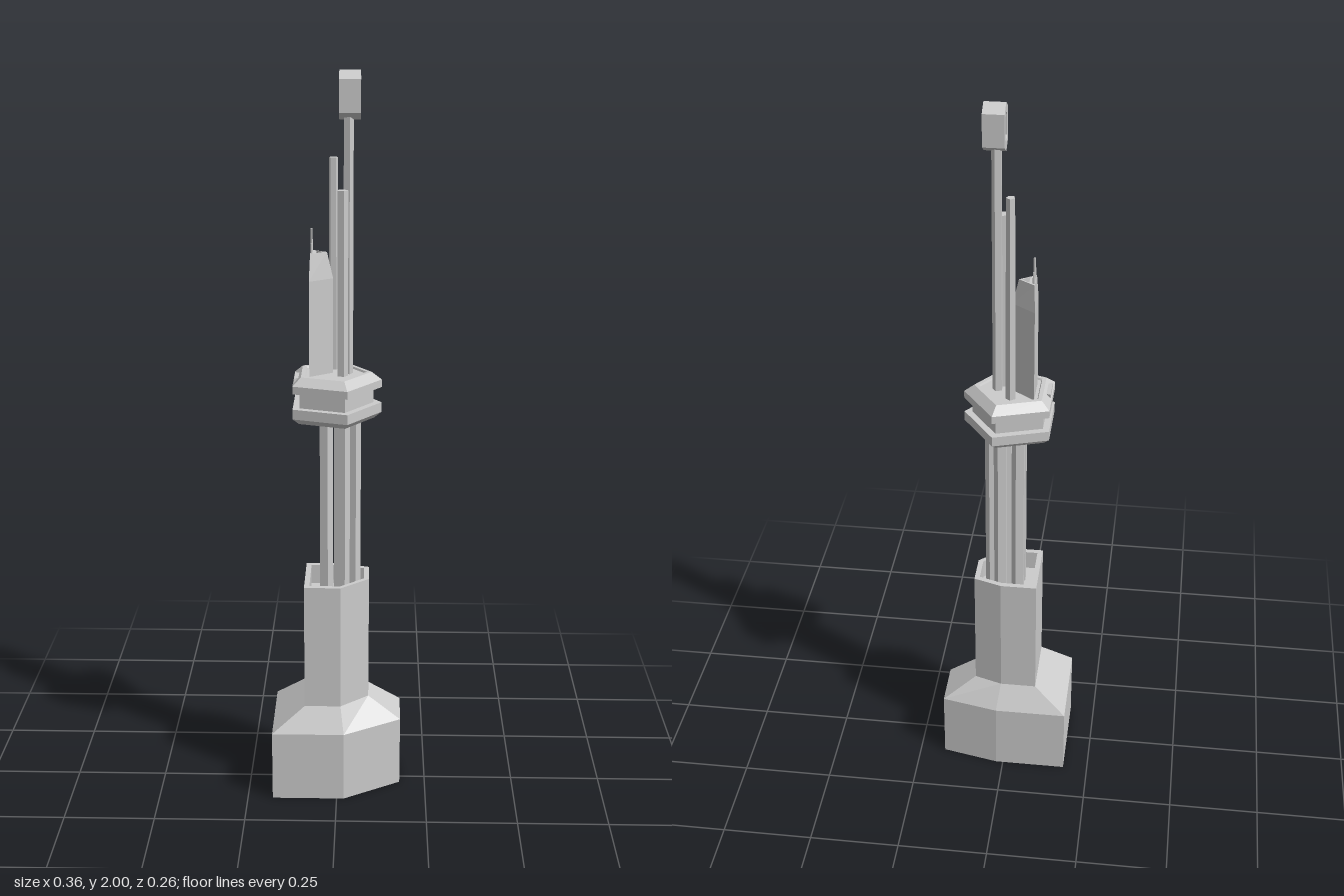
import * as THREE from 'three';

const material = new THREE.MeshStandardMaterial({ color: 0xcccccc, flatShading: true });

// Regular polygon in plan, counter-clockwise seen from above
function ngon(cx, cz, r, n = 5, turn = 0) {
  return Array.from({ length: n }, (_, i) => {
    const t = turn + (i / n) * Math.PI * 2;
    return [cx + r * Math.cos(t), cz - r * Math.sin(t)];
  });
}

// Faceted solid through a stack of [y, outline] sections, capped at both ends
function loft(name, sections) {
  const pos = [];
  const tri = (...corners) => corners.forEach(([y, [x, z]]) => pos.push(x, y, z));
  const n = sections[0][1].length;
  for (let s = 0; s < sections.length - 1; s++) {
    const [y0, lo] = sections[s], [y1, hi] = sections[s + 1];
    for (let i = 0; i < n; i++) {
      const j = (i + 1) % n;
      tri([y0, lo[i]], [y0, lo[j]], [y1, hi[j]]);
      tri([y0, lo[i]], [y1, hi[j]], [y1, hi[i]]);
    }
  }
  const [yb, bottom] = sections[0], [yt, top] = sections[sections.length - 1];
  for (let i = 1; i < n - 1; i++) {
    tri([yb, bottom[0]], [yb, bottom[i + 1]], [yb, bottom[i]]);
    tri([yt, top[0]], [yt, top[i]], [yt, top[i + 1]]);
  }
  const geo = new THREE.BufferGeometry();
  geo.setAttribute('position', new THREE.Float32BufferAttribute(pos, 3));
  geo.computeVertexNormals();
  const mesh = new THREE.Mesh(geo, material);
  mesh.name = name;
  return mesh;
}

const rod = (name, x, z, r, y0, y1, turn = 0, taper = 1) =>
  loft(name, [[y0, ngon(x, z, r, 5, turn)], [y1, ngon(x, z, r * taper, 5, turn)]]);

// Hexagonal ring head, pointed at top and bottom
function mastHead() {
  const hex = (w, y0, y1, slope) => [[0, y0], [w, y0 + slope], [w, y1 - slope], [0, y1],
    [-w, y1 - slope], [-w, y0 + slope]].map(([x, y]) => new THREE.Vector2(x, y));
  const shape = new THREE.Shape(hex(0.033, 1.876, 2, 0.02));
  shape.holes.push(new THREE.Path(hex(0.017, 1.9, 1.977, 0.012)));
  const geo = new THREE.ExtrudeGeometry(shape, { depth: 0.055, bevelEnabled: false });
  geo.rotateY(Math.PI / 2);
  geo.translate(0.004, 0, 0);
  const mesh = new THREE.Mesh(geo, material);
  mesh.name = 'mastHead';
  return mesh;
}

export function createModel() {
  const model = new THREE.Group();
  model.name = 'tower';

  // Six-sided foot, sloped shoulder and hollow-topped shaft
  const foot = [[0.178, 0.032], [0.178, -0.1], [0.02, -0.133], [-0.18, -0.133], [-0.18, 0.13], [0.02, 0.13]];
  const shaft = [[0.087, 0.021], [0.087, -0.066], [0.01, -0.091], [-0.09, -0.091], [-0.09, 0.09], [0.01, 0.09]];
  const inner = shaft.map(([x, z]) => [x * 0.84, z * 0.84]);
  model.add(loft('base', [[0, foot], [0.2, foot], [0.268, shaft], [0.625, shaft], [0.625, inner], [0.57, inner]]));

  // Ring of five columns around a slim core
  const columns = new THREE.Group();
  columns.name = 'columns';
  ngon(0.002, 0, 0.042).forEach(([x, z], i) =>
    columns.add(rod('column', x, z, 0.019, 0.56, 1.1, (i / 5) * Math.PI * 2)));
  columns.add(rod('core', 0.002, 0, 0.014, 0.56, 1.1));
  model.add(columns);

  // Pentagonal platform: two bevelled flanges with a neck between
  const ring = (r) => ngon(-0.012, 0.005, r);
  model.add(loft('platform', [
    [1.087, ring(0.11)], [1.103, ring(0.13)], [1.13, ring(0.13)], [1.13, ring(0.108)],
    [1.172, ring(0.108)], [1.172, ring(0.13)], [1.193, ring(0.13)], [1.214, ring(0.103)],
    [1.214, ring(0.09)], [1.209, ring(0.087)],
  ]));

  // Small landing ledge on the right-hand bevel
  model.add(loft('ledge', [
    [1.19, [[-0.093, 0.04], [-0.093, -0.004], [-0.114, -0.012], [-0.114, 0.052]]],
    [1.207, [[-0.093, 0.04], [-0.093, -0.004], [-0.114, -0.012], [-0.114, 0.052]]],
  ]));

  // Three-sided block with tapered crown and needles
  const wedge = [[-0.012, -0.002], [-0.074, -0.048], [-0.074, 0.043]];
  const crown = [[-0.028, -0.002], [-0.071, -0.032], [-0.071, 0.027]];
  const crownInner = [[-0.036, -0.002], [-0.056, -0.019], [-0.056, 0.015]];
  model.add(loft('wedgeTower', [
    [1.205, wedge], [1.465, wedge], [1.535, crown], [1.535, crownInner], [1.522, crownInner],
  ]));
  [[-0.021, 1.565], [-0.002, 1.597], [0.017, 1.56]].forEach(([z, top]) =>
    model.add(rod('needle', -0.068, z, 0.003, 1.5, top)));

  // Tall pentagonal rods and the main mast
  model.add(rod('rearRod', -0.012, -0.043, 0.014, 1.205, 1.775, 0.3, 0.85));
  model.add(rod('frontRod', 0.013, 0.026, 0.015, 1.205, 1.7));
  model.add(rod('mast', 0.027, 0, 0.014, 1.205, 1.886));
  model.add(mastHead());
  return model;
}
